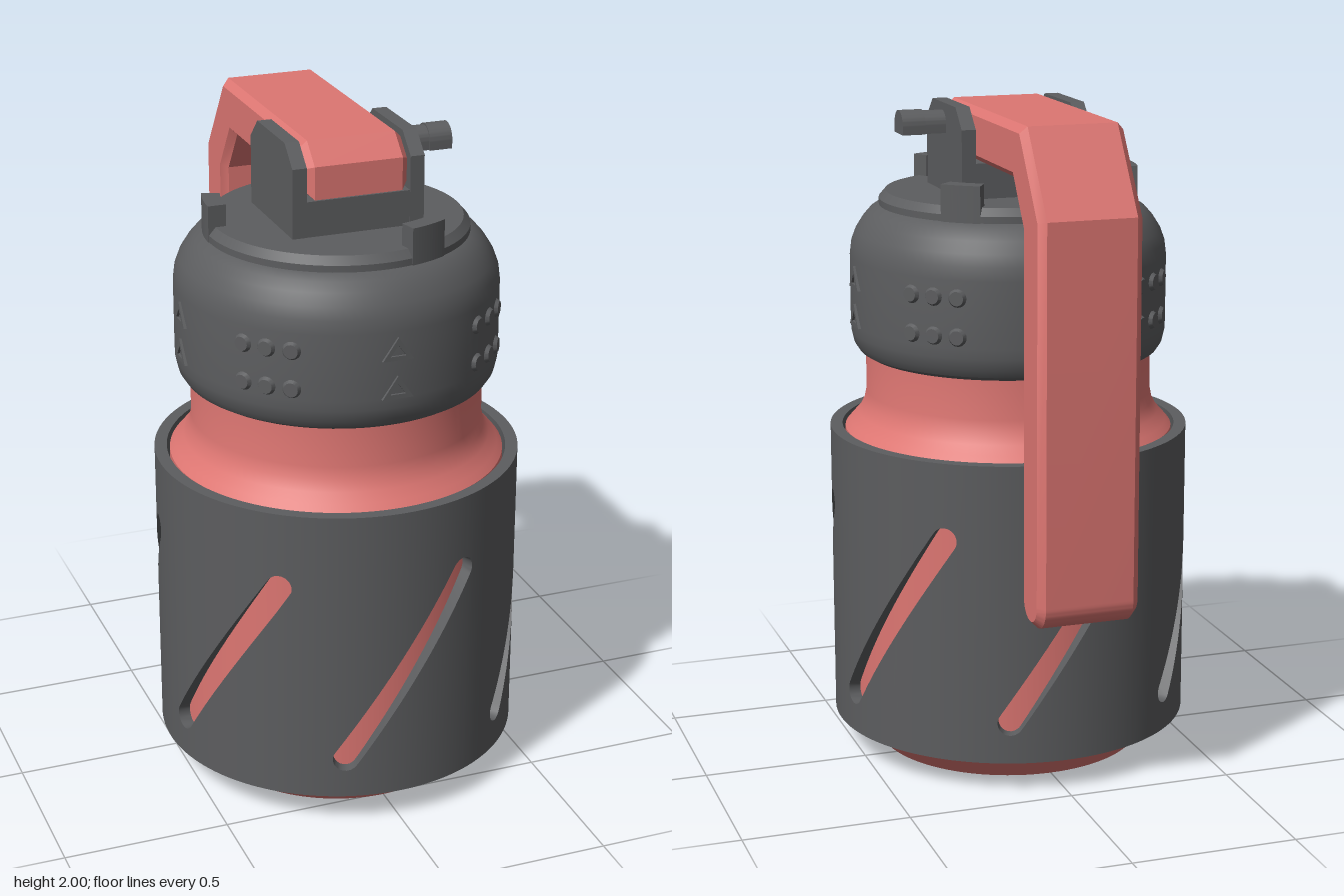
import * as THREE from 'three';
import { toCreasedNormals } from 'three/addons/utils/BufferGeometryUtils.js';

const coral = new THREE.MeshStandardMaterial({ color: 0xdd7672 });
coral.name = 'coral';
const charcoal = new THREE.MeshStandardMaterial({ color: 0x5c5d5f });
charcoal.name = 'charcoal grey';

const AXIS_Z = 0.097; // bottle axis sits forward of the hanging handle
const rad = THREE.MathUtils.degToRad;

function add(parent, name, geometry, material) {
  const mesh = new THREE.Mesh(geometry, material);
  mesh.name = name;
  parent.add(mesh);
  return mesh;
}

function lathe(points) {
  const g = new THREE.LatheGeometry(points.map(([r, y]) => new THREE.Vector2(r, y)), 96);
  return toCreasedNormals(g, 0.45);
}

// Extrudes a side profile (shape x = world z) from x0 to x1, with an optional chamfer
function sideExtrude(shape, x0, x1, chamfer = 0) {
  const g = new THREE.ExtrudeGeometry(shape, {
    depth: x1 - x0 - 2 * chamfer, curveSegments: 16,
    bevelEnabled: chamfer > 0, bevelThickness: chamfer, bevelSize: chamfer,
    bevelOffset: -chamfer, bevelSegments: 1,
  });
  g.rotateY(-Math.PI / 2);
  g.translate(x1 - chamfer, 0, 0);
  return toCreasedNormals(g, 0.45);
}

function polygon(points) {
  return new THREE.Shape(points.map(([x, y]) => new THREE.Vector2(x, y)));
}

// Tube wall with six slanted round-ended slots, built column by column
function sleeveGeometry() {
  const R = 0.548, r = 0.511, y0 = 0.095, y1 = 1.012;
  const midY = 0.5, midA = rad(2), hx = 0.188, hy = 0.278, w = 0.039;
  const len = Math.hypot(hx, hy), nx = -hy / len * w, ny = hx / len * w;
  // Upper edge of the slot, measured from its centre
  const upper = (s) => {
    let top = -Infinity;
    for (const k of [-1, 1]) {
      const d = s - k * hx;
      if (Math.abs(d) <= w + 1e-9) top = Math.max(top, k * hy + Math.sqrt(Math.max(0, w * w - d * d)));
    }
    const t = (s - nx) / hx;
    if (Math.abs(t) <= 1) top = Math.max(top, t * hy + ny);
    return top;
  };
  const columns = [], span = hx + w, N = 36, M = 4;
  for (let k = 0; k < 6; k++) {
    const a0 = midA + k * Math.PI / 3;
    for (let i = 0; i <= N; i++) {
      const s = -span * Math.cos(Math.PI * i / N);
      const end = i === 0 || i === N;
      const hi = end ? Math.sign(s) * hy : upper(s);
      const lo = end ? hi : -upper(-s);
      columns.push({ a: a0 + s / R, lo: midY + lo, hi: midY + hi, open: i < N });
    }
    const gap = Math.PI / 3 - 2 * span / R;
    for (let i = 1; i < M; i++) {
      const y = midY + hy * (1 - 2 * i / M);
      columns.push({ a: a0 + span / R + gap * i / M, lo: y, hi: y, open: false });
    }
  }
  const pos = [];
  const quad = (a, b, c, d) => pos.push(...a, ...b, ...c, ...a, ...c, ...d);
  const at = (c, q, y) => [Math.sin(c.a) * q, y, Math.cos(c.a) * q];
  columns.forEach((c, i) => {
    const d = columns[(i + 1) % columns.length];
    // Strip between two (radius, height) edges
    const strip = (q1, f1, q2, f2) => quad(at(c, q1, f1(c)), at(d, q1, f1(d)), at(d, q2, f2(d)), at(c, q2, f2(c)));
    const bottom = () => y0, top = () => y1, lo = (e) => e.lo, hi = (e) => e.hi;
    strip(R, bottom, R, lo);
    strip(R, hi, R, top);
    strip(r, lo, r, bottom);
    strip(r, top, r, hi);
    strip(R, top, r, top);
    strip(r, bottom, R, bottom);
    if (c.open) {
      strip(R, lo, r, lo);
      strip(r, hi, R, hi);
    }
  });
  const g = new THREE.BufferGeometry();
  g.setAttribute('position', new THREE.Float32BufferAttribute(pos, 3));
  return toCreasedNormals(g, 0.6);
}

export function createModel() {
  const model = new THREE.Group();
  model.name = 'bottle';
  const round = new THREE.Group();
  round.name = 'roundParts';
  round.position.z = AXIS_Z;
  model.add(round);

  // Bottle body and slotted sleeve
  add(round, 'body', lathe([[0, 0], [0.41, 0], [0.502, 0.093], [0.502, 1.005], [0.485, 1.025],
    [0.46, 1.052], [0.443, 1.085], [0.436, 1.12], [0.435, 1.26], [0, 1.26]]), coral);
  add(round, 'sleeve', sleeveGeometry(), charcoal);

  // Screw lid with a raised top plate
  add(round, 'lid', lathe([[0, 1.24], [0.436, 1.24], [0.456, 1.252], [0.471, 1.275], [0.479, 1.31],
    [0.48, 1.34], [0.48, 1.54], [0.475, 1.58], [0.462, 1.615], [0.44, 1.65], [0.418, 1.675],
    [0.395, 1.69], [0.39, 1.692], [0.39, 1.712], [0.37, 1.735], [0, 1.735]]), charcoal);

  // Three stop tabs on the lid rim
  for (let k = 0; k < 3; k++) {
    const a = rad(60 + 120 * k), b = a + rad(18);
    const s = new THREE.Shape();
    s.absarc(0, 0, 0.392, a, b, false);
    s.absarc(0, 0, 0.338, b, a, true);
    s.closePath();
    const g = new THREE.ExtrudeGeometry(s, { depth: 0.11, bevelEnabled: false, curveSegments: 6 });
    g.rotateX(Math.PI / 2);
    add(round, 'rimTab', g, charcoal).position.y = 1.8;
  }

  // Grip marks: triangles on the four sides, studs on the four diagonals
  const triangle = polygon([[-0.047, -0.032], [0.047, -0.032], [0, 0.036]]);
  triangle.holes.push(new THREE.Path([[-0.023, -0.019], [0, 0.013], [0.023, -0.019]]
    .map(([x, y]) => new THREE.Vector2(x, y))));
  const triangleGeo = new THREE.ExtrudeGeometry(triangle, { depth: 0.012, bevelEnabled: false });
  triangleGeo.translate(0, 0, 0.475);
  const studGeo = toCreasedNormals(new THREE.CylinderGeometry(0.021, 0.032, 0.018, 20), 0.45);
  studGeo.rotateX(Math.PI / 2);
  studGeo.translate(0, 0, 0.481);
  for (let k = 0; k < 4; k++) {
    for (const y of [1.373, 1.488]) {
      const mark = add(round, 'triangleMark', triangleGeo, charcoal);
      mark.position.y = y;
      mark.rotation.y = k * Math.PI / 2;
      for (const offset of [-9, 0, 9]) {
        const stud = add(round, 'gripStud', studGeo, charcoal);
        stud.position.y = y;
        stud.rotation.y = rad(45 + 90 * k + offset);
      }
    }
  }

  // Hinge bracket: two chamfered ears and the block between them
  const ear = polygon([[-0.08, 1.72], [0.275, 1.72], [0.275, 1.94], [0.212, 2], [-0.02, 2], [-0.08, 1.94]]);
  add(model, 'leftEar', sideExtrude(ear, 0.157, 0.2), charcoal);
  add(model, 'rightEar', sideExtrude(ear, -0.2, -0.157), charcoal);
  const block = add(model, 'hingeBlock', new THREE.BoxGeometry(0.32, 0.12, 0.353), charcoal);
  block.position.set(0, 1.78, 0.0975);

  // Hinge pin with a flat underside
  const pin = (r, cy) => {
    const s = new THREE.Shape();
    s.moveTo(0.115 + r, cy - 0.025);
    s.lineTo(0.115 + r, cy);
    s.absarc(0.115, cy, r, 0, Math.PI, false);
    s.lineTo(0.115 - r, cy - 0.025);
    s.closePath();
    return s;
  };
  add(model, 'hingePin', sideExtrude(pin(0.04, 1.937), -0.198, 0.27), charcoal);
  add(model, 'pinHead', sideExtrude(pin(0.045, 1.936), 0.265, 0.335), charcoal);

  // Bent carrying handle with chamfered edges and a rounded tip
  const h = new THREE.Shape();
  h.moveTo(0.275, 1.843);
  h.lineTo(0.275, 1.94);
  h.lineTo(0.212, 2);
  h.lineTo(-0.478, 2);
  h.lineTo(-0.645, 1.758);
  h.lineTo(-0.645, 0.645);
  h.absarc(-0.567, 0.645, 0.078, Math.PI, 2 * Math.PI, false);
  h.lineTo(-0.489, 1.712);
  h.lineTo(-0.4, 1.843);
  h.closePath();
  add(model, 'handle', sideExtrude(h, -0.154, 0.154, 0.021), coral);

  return model;
}
